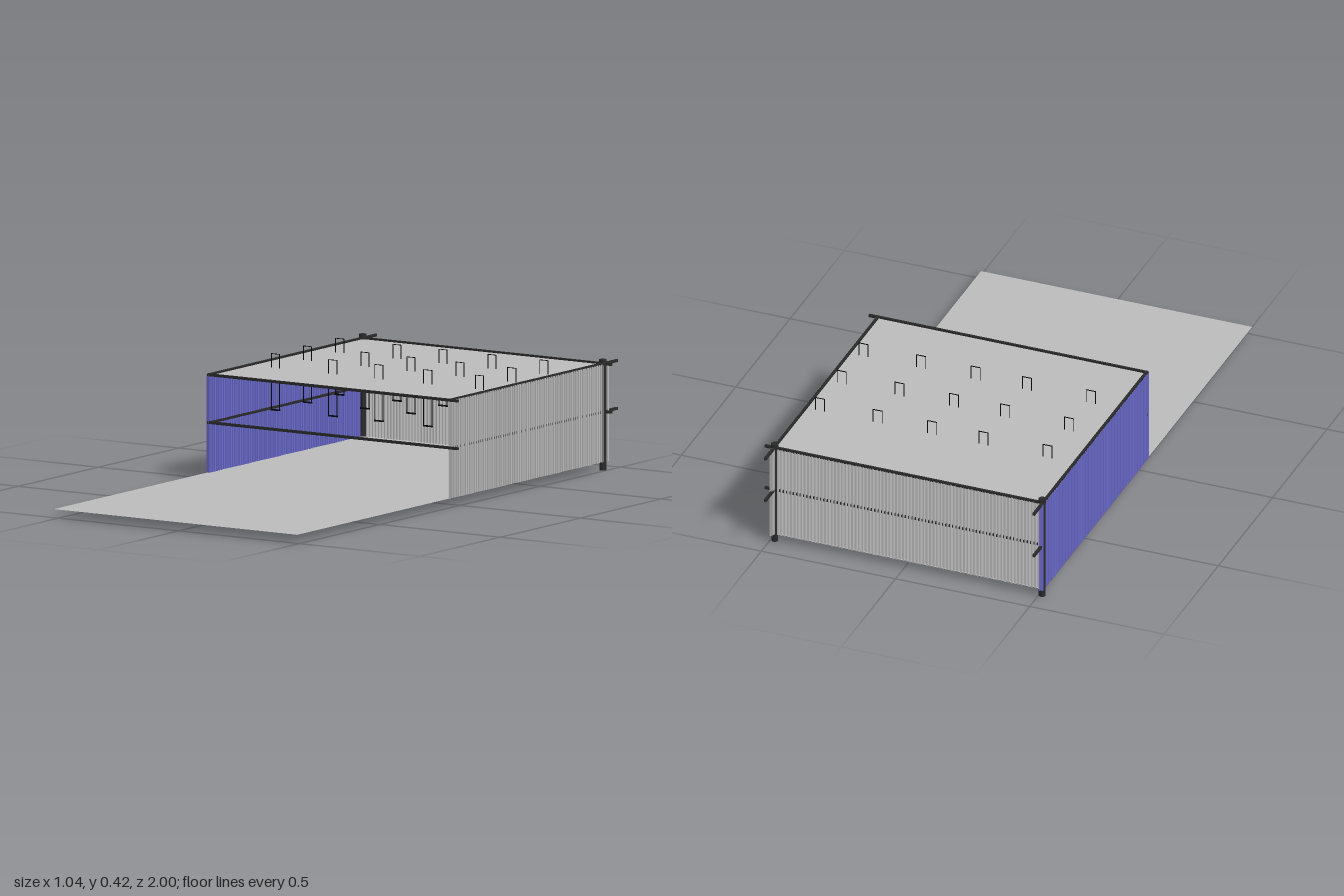
import * as THREE from 'three';

const flat = (color, name, double = false) => {
  const m = new THREE.MeshStandardMaterial({ color, flatShading: true });
  m.name = name;
  if (double) m.side = THREE.DoubleSide;
  return m;
};

// Corrugated sheet along x, centred on z = 0
function corrugated(length, height, ridges, depth) {
  const profile = [];
  const step = length / ridges;
  for (let i = 0; i < ridges; i++) {
    const x = -length / 2 + i * step;
    profile.push([x, -depth / 2], [x + step * 0.4, -depth / 2],
      [x + step * 0.5, depth / 2], [x + step * 0.9, depth / 2]);
  }
  profile.push([length / 2, -depth / 2]);
  const pos = [];
  for (let i = 0; i < profile.length - 1; i++) {
    const [x0, z0] = profile[i], [x1, z1] = profile[i + 1];
    pos.push(x0, 0, z0, x1, 0, z1, x1, height, z1);
    pos.push(x0, 0, z0, x1, height, z1, x0, height, z0);
  }
  const g = new THREE.BufferGeometry();
  g.setAttribute('position', new THREE.Float32BufferAttribute(pos, 3));
  g.computeVertexNormals();
  return g;
}

export function createModel() {
  const model = new THREE.Group();
  model.name = 'shelter';
  const grey = flat(0xbcbcbc, 'light grey sheet', true);
  const blue = flat(0x6c6cd0, 'blue sheet', true);
  const dark = flat(0x2a2a2a, 'dark frame');
  const black = flat(0x080808, 'black wire');

  const add = (parent, geometry, material, name, x, y, z) => {
    const mesh = new THREE.Mesh(geometry, material);
    mesh.name = name;
    mesh.position.set(x, y, z);
    parent.add(mesh);
    return mesh;
  };

  const left = 0.488, right = -0.516, front = 0.04, back = -0.915;
  const base = 0.03, top = 0.37;

  // Ground sheet and roof
  const sheet = (name, y, z0, z1) => {
    const g = new THREE.PlaneGeometry(1.01, z1 - z0).rotateX(-Math.PI / 2);
    add(model, g, grey, name, -0.014, y, (z0 + z1) / 2);
  };
  sheet('ground', base, -0.92, 1);
  sheet('roof', top, back, front);

  // Corrugated walls
  const side = corrugated(0.985, 0.342, 70, 0.012);
  add(model, side, grey, 'leftWall', left, base, -0.447).rotation.y = Math.PI / 2;
  add(model, side, blue, 'rightWall', right, base, -0.447).rotation.y = -Math.PI / 2;
  add(model, corrugated(1.01, 0.342, 80, 0.012), grey, 'backWall', -0.013, base, back - 0.004);

  // Corner posts with slightly wider caps
  for (const [x, name] of [[0.485, 'left'], [-0.511, 'right']]) {
    add(model, new THREE.CylinderGeometry(0.012, 0.012, 0.385, 12), dark, name + 'Post', x, 0.1925, -0.913);
    add(model, new THREE.CylinderGeometry(0.013, 0.013, 0.02, 12), dark, name + 'PostCap', x, 0.378, -0.913);
  }

  // Two levels of rails, running past the corners
  for (const [y, level] of [[0.205, 'middle'], [0.372, 'top']]) {
    for (const [z, name] of [[front, 'Front'], [back, 'Back']]) {
      add(model, new THREE.BoxGeometry(1.04, 0.009, 0.009), dark, level + name + 'Rail', 0, y, z);
    }
    for (const [x, name] of [[left - 0.002, 'Left'], [right + 0.002, 'Right']]) {
      add(model, new THREE.BoxGeometry(0.009, 0.009, 1.045), dark, level + name + 'Rail', x, y, -0.4775);
    }
  }

  // Wire hangers passing through the roof
  const leg = new THREE.BoxGeometry(0.002, 0.196, 0.003);
  const bar = new THREE.BoxGeometry(0.036, 0.002, 0.003);
  const foot = new THREE.BoxGeometry(0.038, 0.005, 0.005);
  for (const z of [-0.62, -0.42, -0.22]) {
    for (const x of [-0.412, -0.174, 0.017, 0.22, 0.435]) {
      const hanger = new THREE.Group();
      hanger.name = 'hanger';
      hanger.position.set(x, 0, z);
      for (const s of [-1, 1]) add(hanger, leg, black, 'hangerLeg', s * 0.017, 0.321, 0);
      add(hanger, bar, black, 'hangerTop', 0, 0.419, 0);
      add(hanger, foot, black, 'hangerFoot', 0, 0.223, 0);
      model.add(hanger);
    }
  }
  return model;
}
